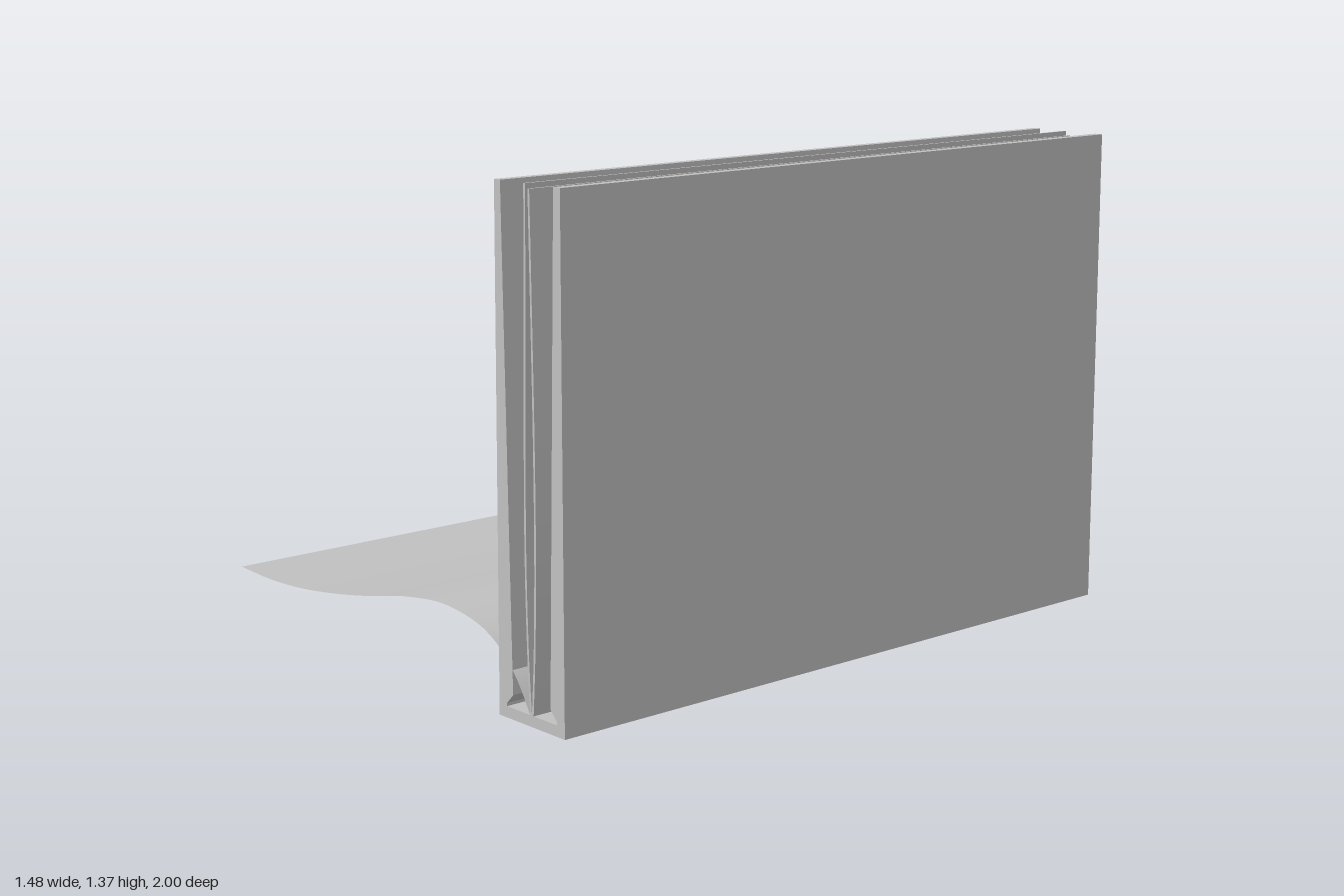
import * as THREE from 'three';
import { toCreasedNormals } from 'three/addons/utils/BufferGeometryUtils.js';

const DEPTH = 2;

const curve = (points) => new THREE.SplineCurve(points.map(([x, y]) => new THREE.Vector2(x, y)));

// Closed cross-section in x/y, run along the full depth
function extrude(points) {
  const shape = new THREE.Shape(points.map((p) => (p.isVector2 ? p : new THREE.Vector2(...p))));
  const geometry = new THREE.ExtrudeGeometry(shape, { depth: DEPTH, bevelEnabled: false });
  geometry.translate(0, 0, -DEPTH / 2);
  return toCreasedNormals(geometry, 0.5);
}

// Thin curved sheet: a plane whose columns follow a curve
function sheet(path, segments) {
  const geometry = new THREE.PlaneGeometry(1, DEPTH, segments, 1);
  const points = path.getSpacedPoints(segments);
  const pos = geometry.attributes.position;
  for (let i = 0; i < pos.count; i++) {
    const p = points[i % (segments + 1)];
    pos.setXYZ(i, p.x, p.y, -pos.getY(i));
  }
  geometry.computeVertexNormals();
  return geometry;
}

export function createModel() {
  const group = new THREE.Group();
  const gray = new THREE.MeshStandardMaterial({ color: 0xc0c0c0 });
  gray.name = 'plain gray';
  const grayTwoSided = gray;
  grayTwoSided.side = THREE.DoubleSide;

  const add = (name, geometry) => {
    const mesh = new THREE.Mesh(geometry, gray);
    mesh.name = name;
    group.add(mesh);
  };

  // Cover: spine with two upright boards, notched at the hinges
  add('cover', extrude([
    [0.476, 0], [0.74, 0], [0.738, 1.37], [0.712, 1.37], [0.684, 0.065],
    [0.71, 0.038], [0.71, 0.03], [0.507, 0.03], [0.507, 0.038],
    [0.533, 0.065], [0.505, 1.37], [0.481, 1.37],
  ]));

  // Two upright leaves, bowed away from each other
  const leaf = (points, thickness) => {
    const side = curve(points).getPoints(32);
    const other = side.map((p) => new THREE.Vector2(p.x + thickness, p.y)).reverse();
    return extrude([...side, ...other]);
  };
  add('leftLeaf', leaf([[0.602, 0.03], [0.592, 0.2], [0.586, 0.45], [0.588, 0.75], [0.594, 1.1], [0.597, 1.37]], 0.007));
  add('rightLeaf', leaf([[0.609, 0.03], [0.619, 0.2], [0.625, 0.45], [0.624, 0.75], [0.618, 1.1], [0.613, 1.358]], 0.007));

  // Open page, rising from the spine and sweeping out to the side
  add('openPage', sheet(curve([
    [-0.74, 0.142], [-0.6, 0.136], [-0.45, 0.141], [-0.28, 0.16], [-0.1, 0.19], [0.05, 0.222],
    [0.2, 0.241], [0.3, 0.238], [0.4, 0.218], [0.48, 0.178], [0.55, 0.11], [0.602, 0.03],
  ]), 48));

  return group;
}
